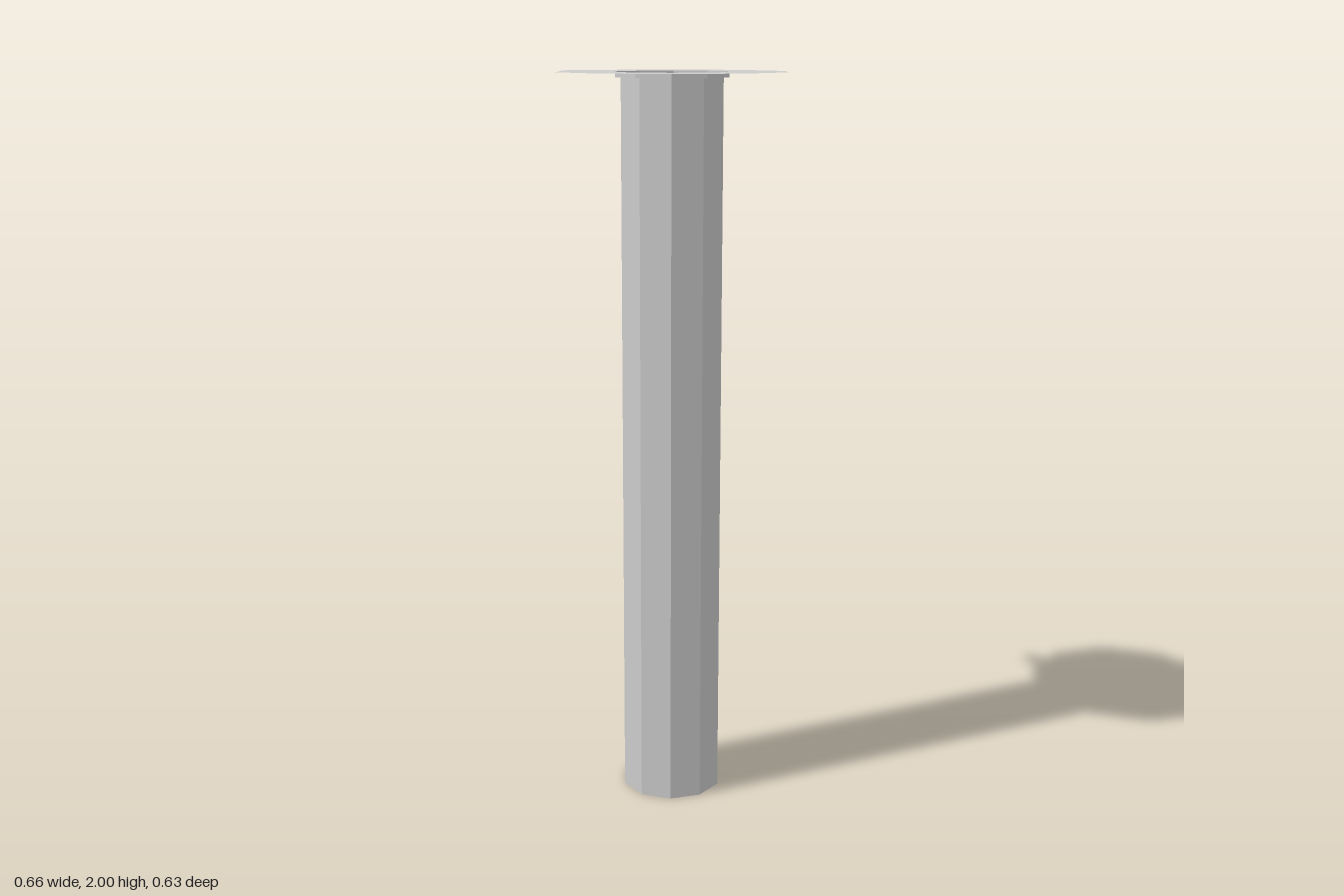
import * as THREE from 'three';

const SIDES = 10;
const CENTRE_X = 0.033;

export function createModel() {
  const group = new THREE.Group();
  const material = new THREE.MeshStandardMaterial({
    color: 0xcccccc, flatShading: true, side: THREE.DoubleSide,
  });
  const add = (name, geometry) => {
    const mesh = new THREE.Mesh(geometry, material);
    mesh.name = name;
    mesh.position.x = CENTRE_X;
    group.add(mesh);
    return mesh;
  };
  const lathe = (points) => new THREE.LatheGeometry(
    points.map(([r, y]) => new THREE.Vector2(r, y)), SIDES);

  // Corners of a ten-sided ring, with one corner pointing to the front
  const decagon = (r) => Array.from({ length: SIDES }, (_, i) => {
    const a = (i / SIDES) * Math.PI * 2;
    return new THREE.Vector2(Math.sin(a) * r, Math.cos(a) * r);
  });

  // Long open tube
  add('tube', lathe([[0.14, 0], [0.14, 1.986]]));

  // Stepped collar between the tube and the flange
  add('collar', lathe([[0.14, 1.986], [0.155, 1.986], [0.155, 2]]));

  // Paper-thin flange with a small tab on the right-hand side
  const corners = decagon(0.313);
  const edgeX = corners[7].x;
  const tab = [[edgeX, -0.033], [-0.364, -0.033], [-0.364, 0.033], [edgeX, 0.033]]
    .map(([x, y]) => new THREE.Vector2(x, y));
  corners.splice(8, 0, ...tab);
  const shape = new THREE.Shape(corners);
  shape.holes.push(new THREE.Path(decagon(0.155)));
  const flange = add('flange', new THREE.ShapeGeometry(shape).rotateX(-Math.PI / 2));
  flange.position.y = 2;

  return group;
}
